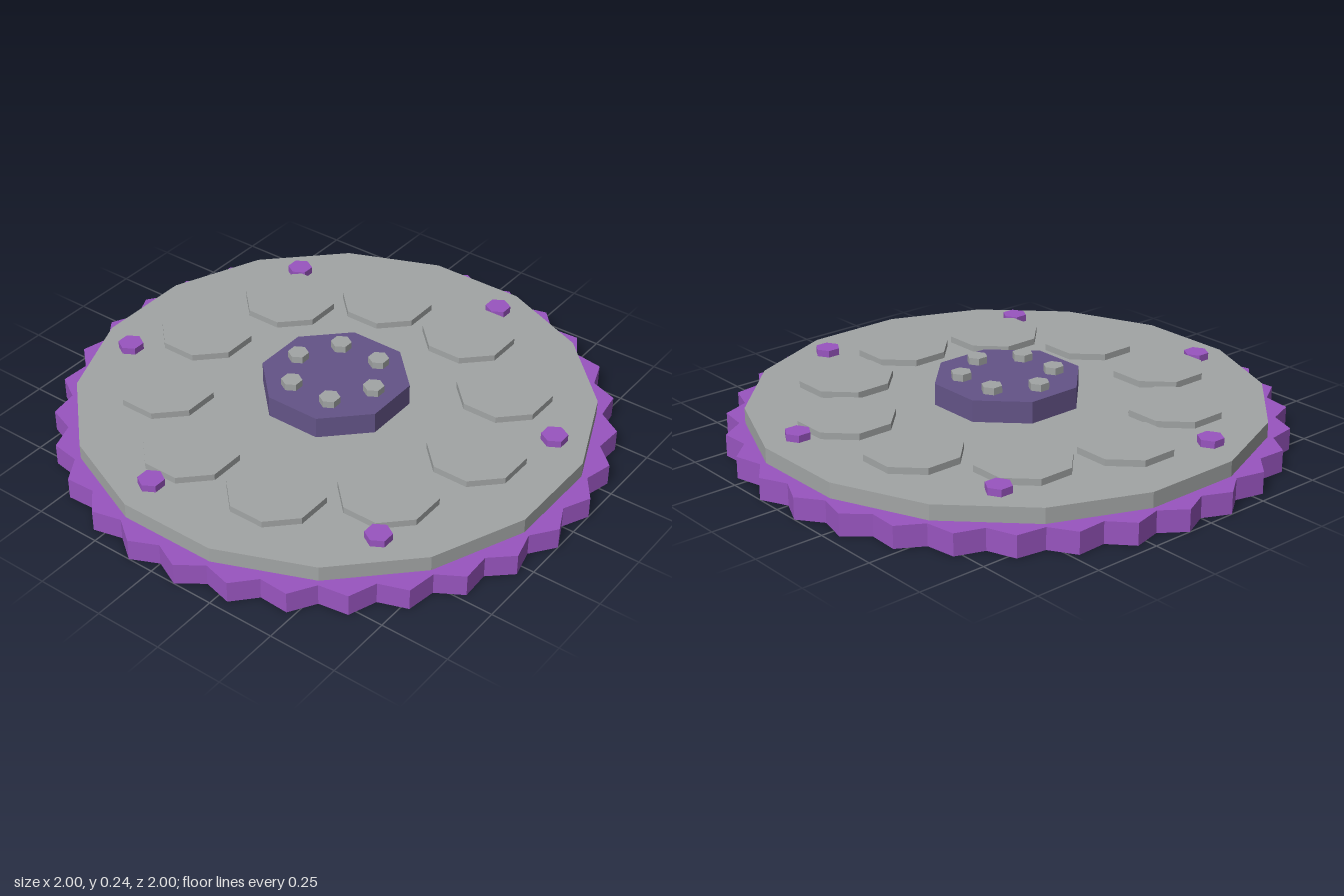
import * as THREE from 'three';

const flat = (name, color) => {
  const m = new THREE.MeshStandardMaterial({ color });
  m.name = name;
  return m;
};

export function createModel() {
  const model = new THREE.Group();
  model.name = 'gearPlate';
  const purple = flat('purple', 0x9955c0);
  const grey = flat('grey', 0xa2a5a5);
  const violet = flat('darkViolet', 0x645488);

  // Upright faceted prism between two heights; turned by half a side if asked
  const prism = (name, material, sides, radius, y0, y1, x = 0, z = 0, halfTurn = true) => {
    const geo = new THREE.CylinderGeometry(radius, radius, y1 - y0, sides, 1, false, halfTurn ? Math.PI / sides : 0)
      .toNonIndexed();
    geo.computeVertexNormals();
    const mesh = new THREE.Mesh(geo, material);
    mesh.name = name;
    mesh.position.set(x, (y0 + y1) / 2, z);
    model.add(mesh);
  };

  // Evenly spaced prisms on a circle
  const ringOf = (count, ringRadius, startDegrees, place) => {
    for (let i = 0; i < count; i++) {
      const a = THREE.MathUtils.degToRad(startDegrees) + (i * 2 * Math.PI) / count;
      place(ringRadius * Math.cos(a), ringRadius * Math.sin(a));
    }
  };

  const polygon = (count, radiusAt, offset) => Array.from({ length: count }, (_, i) => {
    const a = (i + offset) * 2 * Math.PI / count;
    return new THREE.Vector2(radiusAt(i) * Math.cos(a), radiusAt(i) * Math.sin(a));
  });

  // Toothed rim: 32 teeth around the central disc
  const discRadius = 0.933;
  const rim = new THREE.Shape(polygon(64, (i) => (i % 2 ? 1.0048 : 0.954), 0));
  rim.holes.push(new THREE.Path(polygon(16, () => discRadius, 0.5)));
  const rimGeo = new THREE.ExtrudeGeometry(rim, { depth: 0.08, bevelEnabled: false });
  rimGeo.rotateX(-Math.PI / 2);
  const rimMesh = new THREE.Mesh(rimGeo, purple);
  rimMesh.name = 'toothedRim';
  model.add(rimMesh);

  // Central disc and hub
  prism('disc', grey, 16, discRadius, 0, 0.136);
  prism('hub', violet, 8, 0.27, 0.1, 0.216);

  // Raised octagonal pads, hub bolts and rim bolts
  ringOf(10, 0.602, 0, (x, z) => prism('pad', grey, 8, 0.174, 0.1, 0.16, x, z));
  ringOf(6, 0.167, 0, (x, z) => prism('hubBolt', grey, 6, 0.038, 0.2, 0.242, x, z, false));
  ringOf(6, 0.804, 43, (x, z) => prism('rimBolt', purple, 6, 0.047, 0.1, 0.162, x, z, false));

  return model;
}
